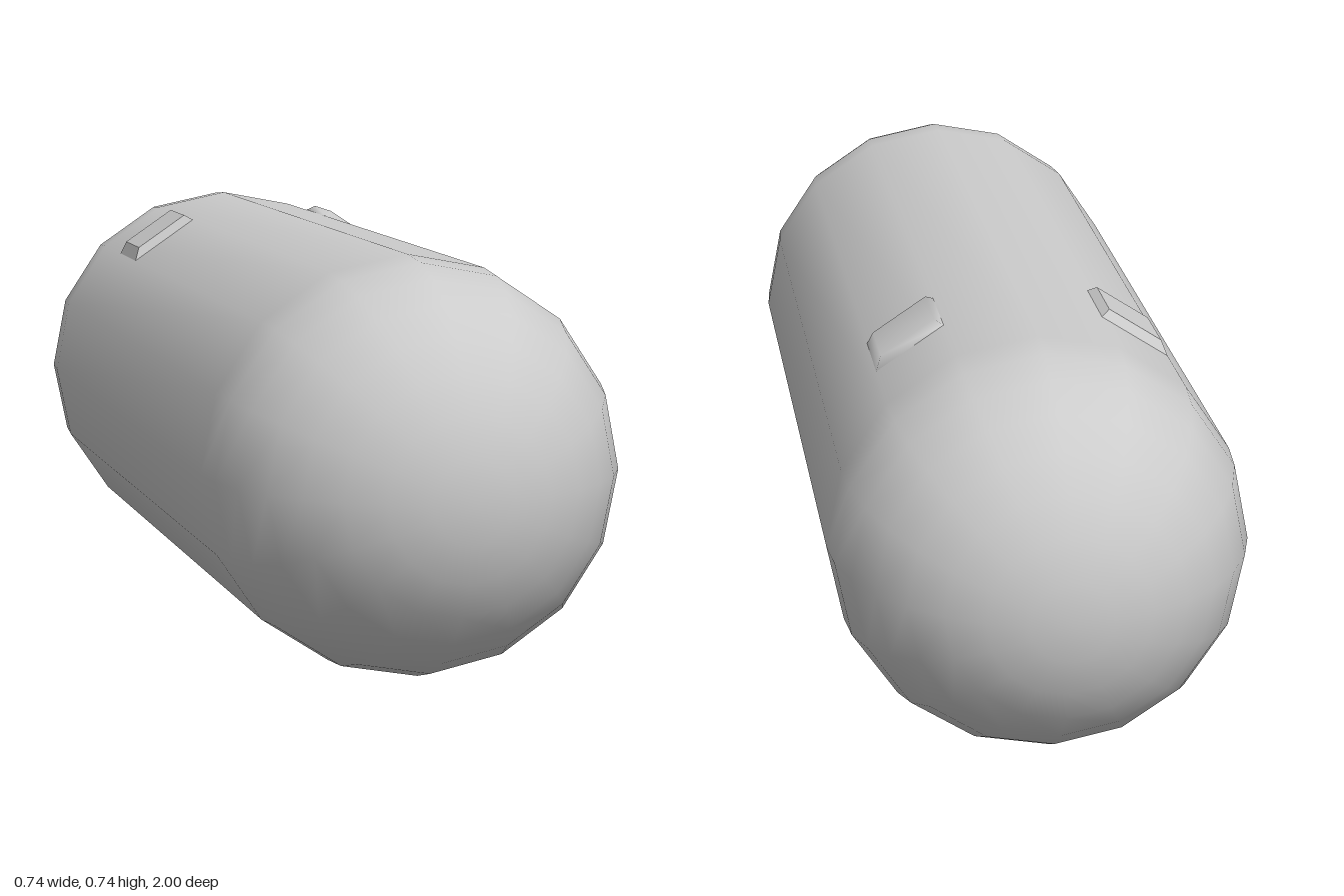
import * as THREE from 'three';

const RADIUS = 0.368;

// Raised pad with sloping sides, lying on one facet of the body.
// Local axes: x runs down the facet, y points outward, z along the body.
function padGeometry(flat) {
  const base = [[-0.072, -0.48], [0.072, -0.48], [0.072, -0.338], [-0.072, -0.338]];
  const top = [[-0.064, -0.47], [0.05, -0.47], [0.05, -0.352], [-0.064, -0.352]];
  const points = [
    ...base.map(([x, z]) => [x, 0, z]),
    ...top.map(([x, z]) => [x, 0.016, z]),
  ];
  const index = [4, 7, 6, 4, 6, 5];
  for (let i = 0; i < 4; i++) {
    const j = (i + 1) % 4;
    index.push(i, i + 4, j + 4, i, j + 4, j);
  }
  let geometry = new THREE.BufferGeometry();
  geometry.setAttribute('position', new THREE.Float32BufferAttribute(points.flat(), 3));
  geometry.setIndex(index);
  if (flat) geometry = geometry.toNonIndexed();
  geometry.computeVertexNormals();
  return geometry;
}

export function createModel() {
  const model = new THREE.Group();
  model.name = 'capsule';
  const material = new THREE.MeshStandardMaterial({ color: 0xcccccc });

  // Long sixteen-sided body with hemispherical ends
  const body = new THREE.Mesh(
    new THREE.CapsuleGeometry(RADIUS, 2 - 2 * RADIUS, 8, 16).rotateX(Math.PI / 2),
    material
  );
  body.name = 'body';
  body.position.y = RADIUS;
  model.add(body);

  // A pad on each upper shoulder near the back: soft on the left, crisp on the right
  const tilt = (Math.PI / 16) * 3;
  const apothem = RADIUS * Math.cos(Math.PI / 16);
  for (const side of [1, -1]) {
    const pad = new THREE.Mesh(padGeometry(side < 0), material);
    pad.name = side > 0 ? 'leftPad' : 'rightPad';
    if (side < 0) {
      // Mirror by a half turn about y, with z kept by recentring on the pad
      pad.geometry.translate(0, 0, 0.409).rotateY(Math.PI).translate(0, 0, -0.409);
    }
    pad.position.set(side * Math.sin(tilt) * apothem, RADIUS + Math.cos(tilt) * apothem, 0);
    pad.rotation.z = -side * tilt;
    model.add(pad);
  }
  return model;
}
